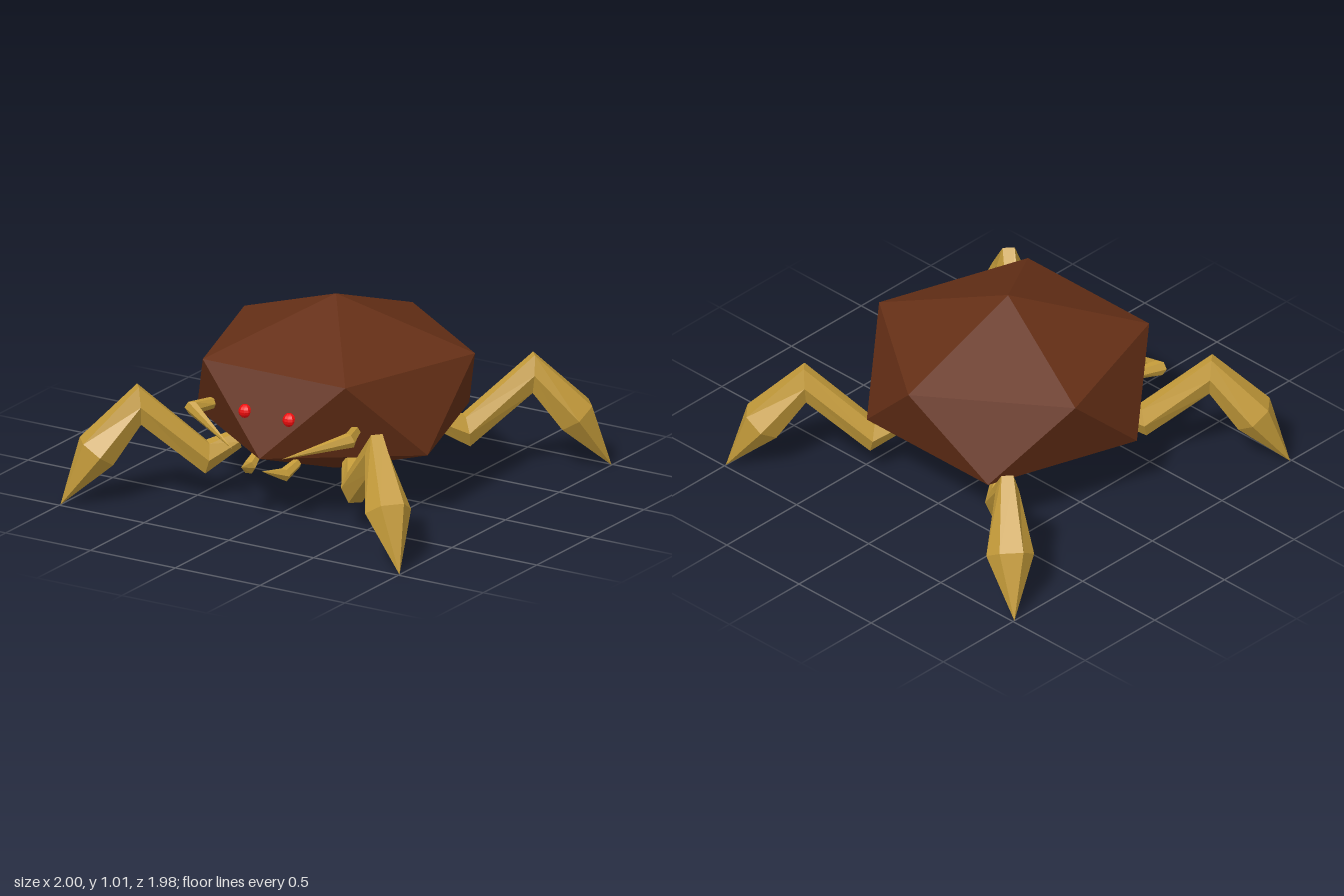
import * as THREE from 'three';
import { ConvexGeometry } from 'three/addons/geometries/ConvexGeometry.js';

const mat = (color) => new THREE.MeshStandardMaterial({ color, flatShading: true });
const SIDES = 6;

// Faceted limb lofted along a path of [x, y, z, halfWidth, halfHeight], mirrored by sx and sz
function limb(path, sx, sz) {
  const pts = path.map(([x, y, z]) => new THREE.Vector3(x * sx, y, z * sz));
  const up = new THREE.Vector3(0, 1, 0);
  const rings = pts.map((p, i) => {
    const t = new THREE.Vector3();
    if (i > 0) t.add(p.clone().sub(pts[i - 1]).normalize());
    if (i < pts.length - 1) t.add(pts[i + 1].clone().sub(p).normalize());
    t.normalize();
    const side = up.clone().cross(t).normalize();
    const top = t.clone().cross(side);
    const [, , , w, h] = path[i];
    return Array.from({ length: SIDES }, (_, j) => {
      const a = (j / SIDES) * Math.PI * 2;
      return p.clone().addScaledVector(side, Math.cos(a) * w).addScaledVector(top, Math.sin(a) * h);
    });
  });
  const tris = [];
  for (let j = 0; j < SIDES; j++) {
    const k = (j + 1) % SIDES;
    tris.push(pts[0], rings[0][k], rings[0][j]);
    for (let i = 0; i < rings.length - 1; i++) {
      const [a, b, c, d] = [rings[i][j], rings[i][k], rings[i + 1][k], rings[i + 1][j]];
      tris.push(a, b, c);
      if (i < rings.length - 2) tris.push(a, c, d); // the last ring is a point
    }
  }
  const geo = new THREE.BufferGeometry().setFromPoints(tris);
  geo.computeVertexNormals();
  return geo;
}

export function createModel() {
  const group = new THREE.Group();
  const shell = mat(0x652f16), horn = mat(0xc49b3a), red = mat(0xee0c0c);
  const add = (name, geo, material) => {
    const mesh = new THREE.Mesh(geo, material);
    mesh.name = name;
    group.add(mesh);
    return mesh;
  };

  // Body: squashed icosahedron with a point at top and bottom
  const corners = [new THREE.Vector3(0, 1.01, 0), new THREE.Vector3(0, 0.09, 0)];
  for (let i = 0; i < 5; i++) {
    const a = (i / 5) * Math.PI * 2;
    const x = Math.sin(a) * 0.715, z = Math.cos(a) * 0.715;
    corners.push(new THREE.Vector3(x, 0.345, z), new THREE.Vector3(x, 0.755, -z));
  }
  add('body', new ConvexGeometry(corners), shell);

  // Limb paths for the model's left side
  const leg = [
    [0.34, 0.295, 0.39, 0.05, 0.05],
    [0.44, 0.22, 0.52, 0.07, 0.09],
    [0.70, 0.51, 0.73, 0.06, 0.115],
    [0.86, 0.275, 0.875, 0.12, 0.11],
    [1.0, 0, 0.99, 0, 0],
  ];
  const pincer = [
    [0.42, 0.5, 0.49, 0.03, 0.03],
    [0.465, 0.497, 0.605, 0.04, 0.04],
    [0.145, 0.375, 0.735, 0, 0],
  ];
  const fang = [
    [0.12, 0.3, 0.55, 0.025, 0.025],
    [0.105, 0.262, 0.65, 0.035, 0.035],
    [0.06, 0.312, 0.79, 0, 0],
  ];

  for (const s of [1, -1]) {
    const side = s > 0 ? 'left' : 'right';
    add(side + 'FrontLeg', limb(leg, s, 1), horn);
    add(side + 'BackLeg', limb(leg, s, -1), horn);
    add(side + 'Pincer', limb(pincer, s, 1), horn);
    add(side + 'Fang', limb(fang, s, 1), horn);
    add(side + 'Eye', new THREE.SphereGeometry(0.037, 10, 8), red).position.set(s * 0.13, 0.552, 0.637);
  }
  return group;
}
